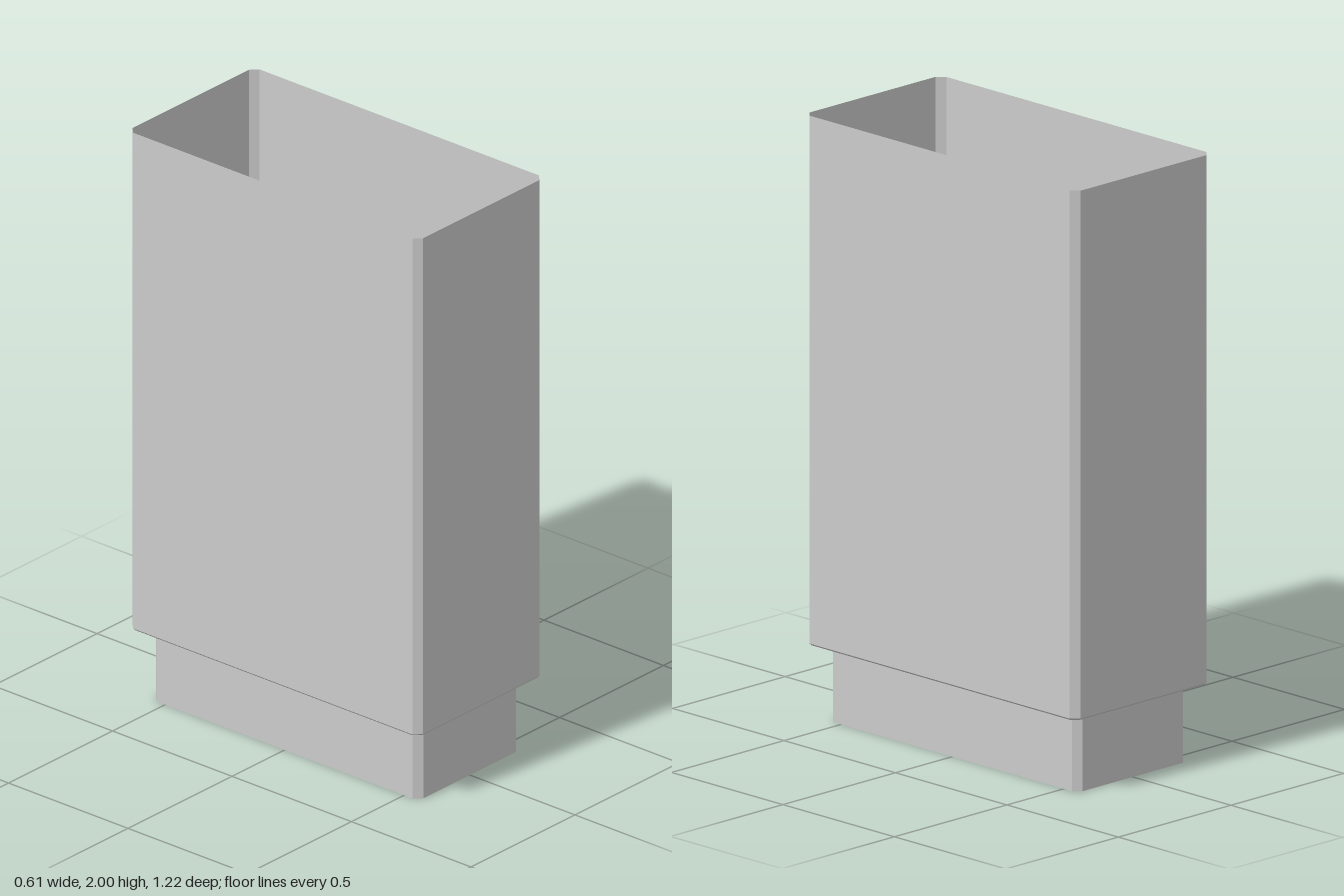
import * as THREE from 'three';

const material = new THREE.MeshStandardMaterial({ color: 0xcccccc, flatShading: true, side: THREE.DoubleSide });

// Rectangle with chamfered corners, counter-clockwise seen from above
function ring(hx, hz, y, c) {
  return [
    [hx, y, hz - c], [hx, y, c - hz], [hx - c, y, -hz], [c - hx, y, -hz],
    [-hx, y, c - hz], [-hx, y, hz - c], [c - hx, y, hz], [hx - c, y, hz],
  ];
}

// Open thin wall joining rings from bottom to top; sections are [halfX, halfZ, y, chamfer]
function wall(name, sections) {
  const rings = sections.map((s) => ring(...s));
  const pos = [];
  for (let i = 0; i < rings.length - 1; i++) {
    for (let j = 0; j < 8; j++) {
      const k = (j + 1) % 8;
      const a = rings[i][j], b = rings[i][k], c = rings[i + 1][k], d = rings[i + 1][j];
      pos.push(...a, ...b, ...c, ...a, ...c, ...d);
    }
  }
  const geometry = new THREE.BufferGeometry();
  geometry.setAttribute('position', new THREE.Float32BufferAttribute(pos, 3));
  geometry.computeVertexNormals();
  const mesh = new THREE.Mesh(geometry, material);
  mesh.name = name;
  return mesh;
}

export function createModel() {
  const model = new THREE.Group();
  model.name = 'openRectangularSleeve';

  // Narrow open spigot at the bottom
  model.add(wall('lowerCollar', [
    [0.247, 0.56, 0, 0.024],
    [0.247, 0.56, 0.243, 0.024],
  ]));

  // Stepped ledge with small bevels on both edges
  model.add(wall('shoulder', [
    [0.247, 0.56, 0.243, 0.024],
    [0.254, 0.565, 0.246, 0.024],
    [0.261, 0.571, 0.255, 0.024],
    [0.299, 0.603, 0.255, 0.024],
    [0.304, 0.608, 0.261, 0.024],
  ]));

  // Tall open-topped body
  model.add(wall('upperBody', [
    [0.304, 0.608, 0.261, 0.024],
    [0.304, 0.608, 2, 0.024],
  ]));
  return model;
}
